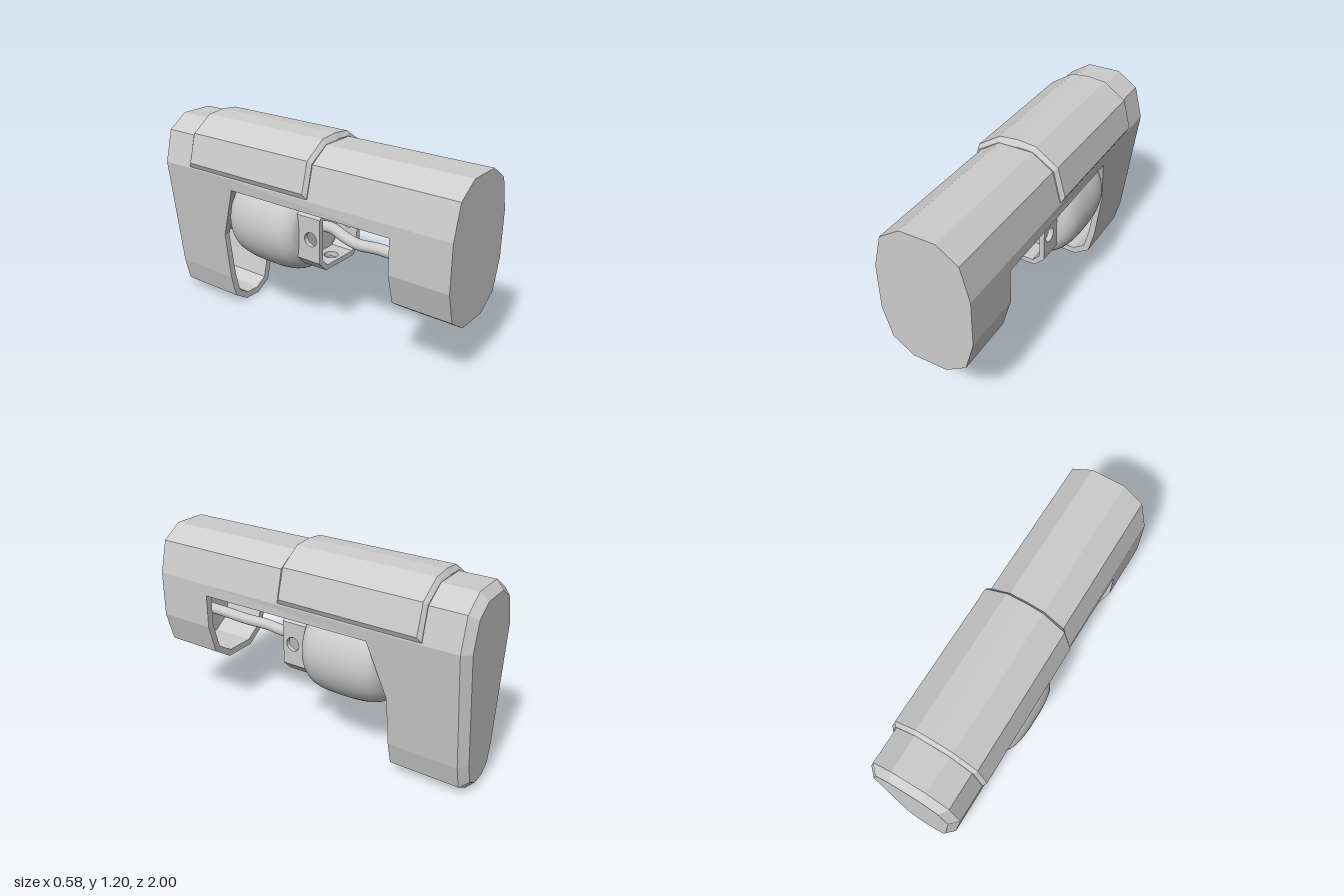
import * as THREE from 'three';

const material = new THREE.MeshStandardMaterial({ color: 0xcccccc });

function add(parent, name, geometry, x = 0, y = 0, z = 0) {
  const mesh = new THREE.Mesh(geometry, material);
  mesh.name = name;
  mesh.position.set(x, y, z);
  parent.add(mesh);
  return mesh;
}

// Right half (bottom to top) -> right side up, left side down
const mirror = half => [...half, ...[...half].reverse().map(([x, y]) => [-x, y])];

// Open arch: outer path followed by the inner path backwards
const arch = (outer, inner) => [...mirror(outer), ...mirror(inner).reverse()];

// Move each edge of a closed counter-clockwise outline inwards by d
function inset(points, d) {
  const n = points.length;
  return points.map((p, i) => {
    const a = points[(i + n - 1) % n], b = points[(i + 1) % n];
    const u = new THREE.Vector2(p[0] - a[0], p[1] - a[1]).normalize();
    const v = new THREE.Vector2(b[0] - p[0], b[1] - p[1]).normalize();
    const k = d / (1 + u.dot(v));
    return [p[0] - (u.y + v.y) * k, p[1] + (u.x + v.x) * k];
  });
}

// Faceted skin through [z, outline] sections, with both ends capped
function loft(sections) {
  const pos = [];
  const put = (z, p) => pos.push(p[0], p[1], z);
  for (let i = 0; i + 1 < sections.length; i++) {
    const [z0, s] = sections[i], [z1, t] = sections[i + 1];
    s.forEach((a, j) => {
      const k = (j + 1) % s.length;
      put(z0, a); put(z1, t[j]); put(z0, s[k]);
      put(z0, s[k]); put(z1, t[j]); put(z1, t[k]);
    });
  }
  const cap = ([z, s], flip) => {
    const contour = s.map(p => new THREE.Vector2(...p));
    for (const f of THREE.ShapeUtils.triangulateShape(contour, [])) {
      (flip ? [f[0], f[2], f[1]] : f).forEach(i => put(z, s[i]));
    }
  };
  cap(sections[0], false);
  cap(sections[sections.length - 1], true);
  const g = new THREE.BufferGeometry();
  g.setAttribute('position', new THREE.Float32BufferAttribute(pos, 3));
  g.computeVertexNormals();
  return g;
}

export function createModel() {
  const model = new THREE.Group();
  model.name = 'handheldDevice';

  const roof = [[0.27, 0.89], [0.22, 1.08], [0.1, 1.16]];
  const front = mirror([[0.1, 0.36], [0.22, 0.44], [0.27, 0.62], ...roof]);
  const rear = mirror([[0.055, 0], [0.15, 0.06], [0.185, 0.2], ...roof]);
  const cavity = outline => inset(outline, 0.04).map(([x, y]) => [x, Math.min(y, 0.8)]);

  // Front block, hollow towards the back
  add(model, 'frontHousing', loft([
    [1, front], [0.65, front], [0.65, cavity(front)], [0.92, cavity(front)],
  ]));

  // Rear block, hollow towards the front, bevelled at the back
  add(model, 'rearHousing', loft([
    [-0.92, cavity(rear)], [-0.54, cavity(rear)], [-0.54, rear],
    [-0.955, rear], [-1, inset(rear, 0.045)],
  ]));

  // Open-bottomed bridge whose sides slope down into the rear block
  const bridge = (x, y) => arch([[x, y], ...roof],
    [[x - 0.04, y], [0.23, 0.885], [0.19, 1.05], [0.088, 1.12]]);
  add(model, 'bridge', loft([
    [0.65, bridge(0.27, 0.82)], [-0.43, bridge(0.262, 0.82)], [-0.54, bridge(0.222, 0.5)],
  ]));

  // Raised cover over the bridge with chamfered ends
  const under = [[0.25, 0.9], [0.205, 1.07], [0.09, 1.14], [0.001, 1.14]];
  const low = arch([[0.27, 0.9], [0.272, 0.902], [0.225, 1.085], [0.1, 1.163], [0.001, 1.168]], under);
  const high = arch([[0.272, 0.9], [0.287, 0.93], [0.24, 1.1], [0.108, 1.188], [0.001, 1.198]], under);
  add(model, 'topCover', loft([[0.13, low], [0.11, high], [-0.73, high], [-0.75, low]]));

  // Rounded drum and its rear shaft
  const axisY = 0.63;
  const side = new THREE.SplineCurve([
    [0.17, -0.495], [0.215, -0.485], [0.255, -0.45], [0.276, -0.39], [0.286, -0.31],
    [0.288, -0.23], [0.286, -0.13], [0.27, -0.05], [0.23, -0.002], [0.17, 0.012],
  ].map(p => new THREE.Vector2(...p))).getPoints(36);
  const profile = [new THREE.Vector2(0, -0.495), ...side, new THREE.Vector2(0, 0.012)];
  add(model, 'drum', new THREE.LatheGeometry(profile, 48).rotateX(Math.PI / 2), 0, axisY, 0);
  add(model, 'drumShaft',
    new THREE.CylinderGeometry(0.18, 0.18, 0.44, 32).rotateX(Math.PI / 2), 0, axisY, -0.7);

  // Chamfered square collar with a round hole in each side
  const collar = new THREE.Group();
  collar.name = 'collar';
  collar.position.y = axisY;
  model.add(collar);
  const plate = new THREE.Shape([[-0.13, -0.02], [0.13, -0.02], [0.13, 0.155], [-0.13, 0.155]]
    .map(p => new THREE.Vector2(...p)));
  plate.holes.push(new THREE.Path().absarc(0, 0.09, 0.042, 0, Math.PI * 2, true));
  const plateGeometry = new THREE.ExtrudeGeometry(plate,
    { depth: 0.03, bevelEnabled: false, curveSegments: 20 }).rotateX(Math.PI / 2);
  for (let i = 0; i < 4; i++) {
    const quarter = new THREE.Group();
    quarter.name = 'collarSide';
    quarter.rotation.z = i * Math.PI / 2;
    collar.add(quarter);
    add(quarter, 'collarPlate', plateGeometry, 0, 0.19, 0);
    const corner = add(quarter, 'collarCorner',
      new THREE.BoxGeometry(0.085, 0.03, 0.175), 0.1494, 0.1494, 0.0675);
    corner.rotation.z = -Math.PI / 4;
  }

  // Slack cable from the drum into the front block
  const path = new THREE.CatmullRomCurve3([
    [0.63, -0.02], [0.635, 0.03], [0.638, 0.1], [0.605, 0.19], [0.587, 0.28],
    [0.597, 0.42], [0.592, 0.58], [0.598, 0.75], [0.6, 0.94],
  ].map(([y, z]) => new THREE.Vector3(0, y, z)));
  add(model, 'cable', new THREE.TubeGeometry(path, 64, 0.033, 16));

  return model;
}
